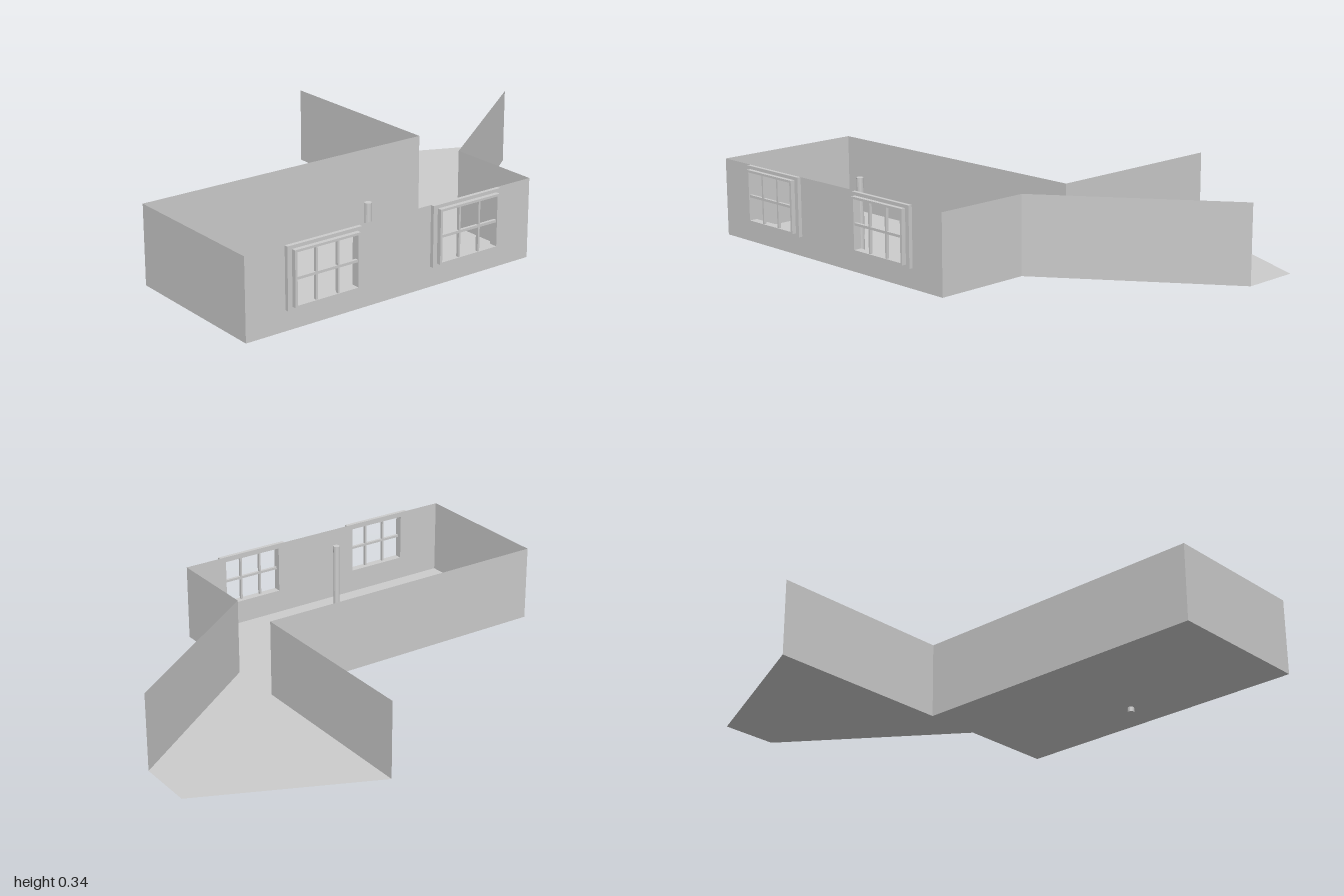
import * as THREE from 'three';

const FLOOR = 0.02, TOP = 0.34;
const mat = new THREE.MeshStandardMaterial({ color: 0xcccccc, side: THREE.DoubleSide, flatShading: true });

function part(name, geometry, parent) {
  const mesh = new THREE.Mesh(geometry, mat);
  mesh.name = name;
  parent.add(mesh);
  return mesh;
}

// Rectangle outline, as a shape or a hole
function rect(Type, u0, v0, u1, v1) {
  return new Type([[u0, v0], [u1, v0], [u1, v1], [u0, v1]].map(p => new THREE.Vector2(...p)));
}

// Rectangular ring lying in the z-y plane, from x0 to x1
function frame(outer, inner, x0, x1) {
  const shape = rect(THREE.Shape, ...outer);
  shape.holes.push(rect(THREE.Path, ...inner));
  const g = new THREE.ExtrudeGeometry(shape, { depth: x1 - x0, bevelEnabled: false });
  return g.rotateY(-Math.PI / 2).translate(x1, 0, 0);
}

// Thin upright wall between two floor points
function wall(name, a, b, parent) {
  const dx = b[0] - a[0], dz = b[1] - a[1];
  const g = new THREE.PlaneGeometry(Math.hypot(dx, dz), TOP - FLOOR);
  const m = part(name, g, parent);
  m.rotation.y = -Math.atan2(dz, dx);
  m.position.set((a[0] + b[0]) / 2, (FLOOR + TOP) / 2, (a[1] + b[1]) / 2);
}

// Casing, sash and glazing bars, centred on z = c
function makeWindow(c) {
  const w = new THREE.Group();
  w.name = 'window';
  part('casing', frame([c - 0.161, 0.1, c + 0.161, TOP], [c - 0.132, 0.12, c + 0.132, 0.318], 0.711, 0.727), w);
  part('sash', frame([c - 0.142, 0.113, c + 0.142, 0.327], [c - 0.132, 0.12, c + 0.132, 0.318], 0.727, 0.745), w);
  for (const s of [-1, 1]) {
    part('uprightBar', new THREE.BoxGeometry(0.012, 0.2, 0.008), w).position.set(0.735, 0.219, c + s * 0.047);
  }
  part('crossBar', new THREE.BoxGeometry(0.012, 0.01, 0.266), w).position.set(0.735, 0.22, c);
  return w;
}

export function createModel() {
  const model = new THREE.Group();
  model.name = 'room';

  // Floor outline as x, z points
  const plan = [[0.063, 1], [0.711, 1], [0.711, -0.3], [0.305, -0.3],
    [-0.197, -1], [-0.44, -1], [-0.75, -0.3], [0.063, -0.3]];
  const floor = new THREE.ShapeGeometry(new THREE.Shape(plan.map(p => new THREE.Vector2(...p))));
  part('floor', floor.rotateX(Math.PI / 2).translate(0, FLOOR, 0), model);

  // Plain walls; the two far edges of the wing stay open
  wall('frontWall', plan[0], plan[1], model);
  wall('backWall', plan[2], plan[3], model);
  wall('slantedWall', plan[3], plan[4], model);
  wall('wingWall', plan[6], plan[7], model);
  wall('innerWall', plan[7], plan[0], model);

  // Outer wall with window openings
  const centers = [0.022, 0.672];
  const side = rect(THREE.Shape, -0.3, FLOOR, 1, TOP);
  for (const c of centers) {
    side.holes.push(rect(THREE.Path, c - 0.132, 0.12, c + 0.132, 0.318));
    model.add(makeWindow(c));
  }
  part('windowWall', new THREE.ShapeGeometry(side).rotateY(-Math.PI / 2).translate(0.711, 0, 0), model);

  // Post passing through the floor
  part('post', new THREE.CylinderGeometry(0.014, 0.014, TOP, 16), model).position.set(0.55, TOP / 2, 0.345);

  return model;
}
